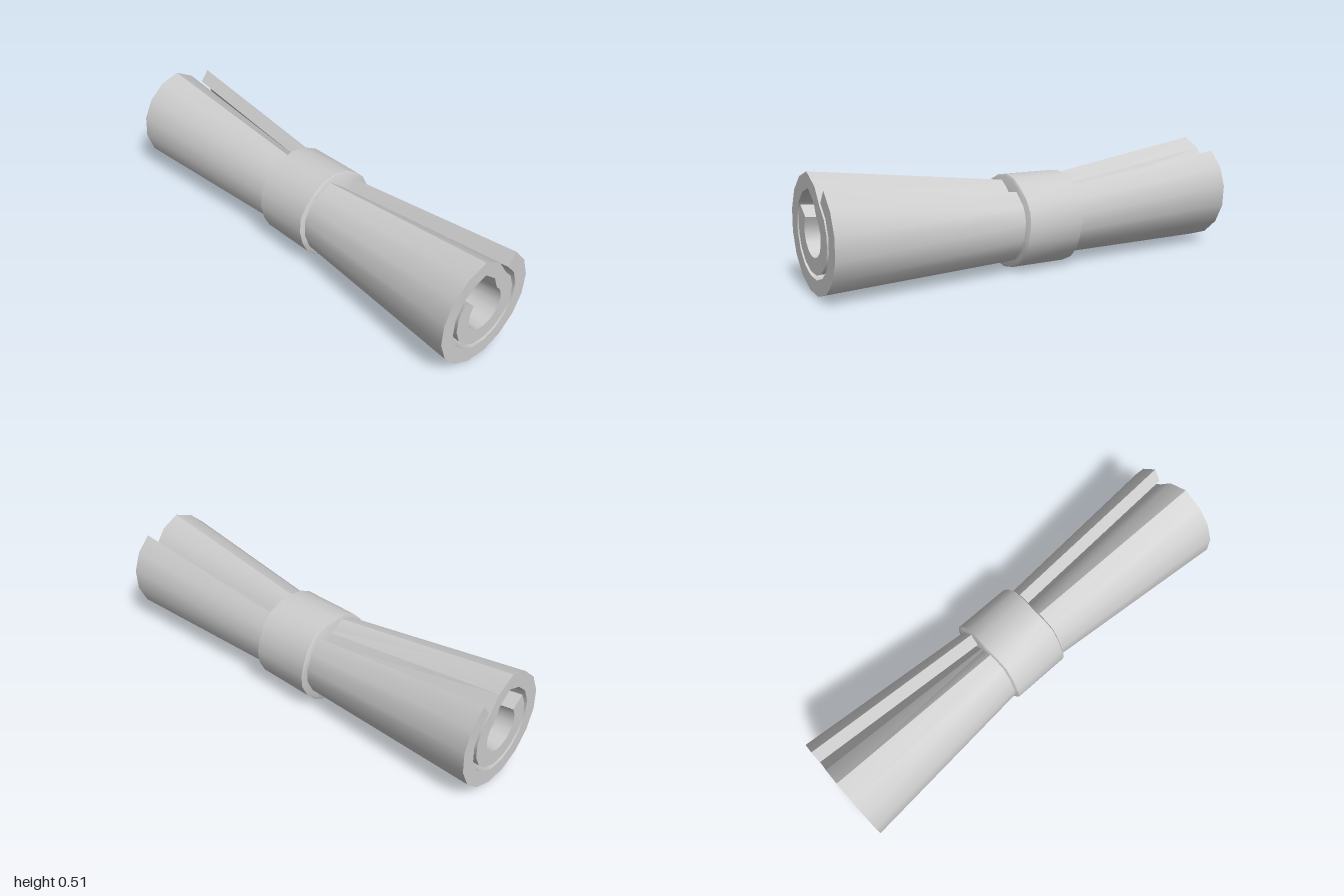
import * as THREE from 'three';
import { toCreasedNormals } from 'three/addons/utils/BufferGeometryUtils.js';

const CENTRE_Y = 0.26;

// Spiral cross-section: a thick sheet wound through 28 steps of 22.5 degrees
function spiralShape() {
  const ring = (i, outer, middle, inner) => {
    const r = i < 15 ? outer : i === 15 ? middle : inner;
    const a = THREE.MathUtils.degToRad(53 - 22.5 * i);
    return new THREE.Vector2(r * Math.cos(a), r * Math.sin(a));
  };
  const points = [];
  for (let i = 0; i <= 28; i++) points.push(ring(i, 0.25, 0.207, 0.164));
  for (let i = 28; i >= 0; i--) points.push(ring(i, 0.184, 0.138, 0.095));
  return new THREE.Shape(points);
}

// Sheet extruded along its length, its waist pulled in and lowered
function sheetGeometry() {
  const geo = new THREE.ExtrudeGeometry(spiralShape(), { depth: 2, steps: 2, bevelEnabled: false });
  geo.translate(0, 0, -1);
  const p = geo.attributes.position;
  for (let i = 0; i < p.count; i++) {
    const u = p.getX(i), v = p.getY(i), w = p.getZ(i);
    const k = (1 - Math.abs(w)) / 0.86;
    const r = Math.hypot(u, v);
    const s = (r - 0.065 * k) / r;
    p.setXY(i, u * s + 0.02 * k, v * s + CENTRE_Y - 0.045 * k);
  }
  geo.rotateY(Math.PI / 2);
  return toCreasedNormals(geo, 0.65);
}

// Solid tie around the waist with slightly wavy rims
function bandGeometry() {
  const profile = [[0, -0.138], [0.2, -0.142], [0.21, -0.136], [0.21, 0.136], [0.2, 0.142], [0, 0.138]];
  const geo = new THREE.LatheGeometry(profile.map(([r, y]) => new THREE.Vector2(r, y)), 20);
  const p = geo.attributes.position;
  for (let i = 0; i < p.count; i++) {
    const x = p.getX(i), z = p.getZ(i);
    if (Math.hypot(x, z) > 0.1) p.setY(i, p.getY(i) + 0.004 * Math.cos(5 * Math.atan2(z, x)));
  }
  geo.rotateZ(-Math.PI / 2 + 0.02);
  return toCreasedNormals(geo, 0.6);
}

export function createModel() {
  const paper = new THREE.MeshStandardMaterial({ color: 0xcccccc });
  paper.name = 'paleGrey';

  const group = new THREE.Group();
  group.name = 'rolledScroll';

  const sheet = new THREE.Mesh(sheetGeometry(), paper);
  sheet.name = 'rolledSheet';
  group.add(sheet);

  const band = new THREE.Mesh(bandGeometry(), paper);
  band.name = 'tieBand';
  band.position.set(-0.011, 0.213, -0.025);
  group.add(band);

  return group;
}
